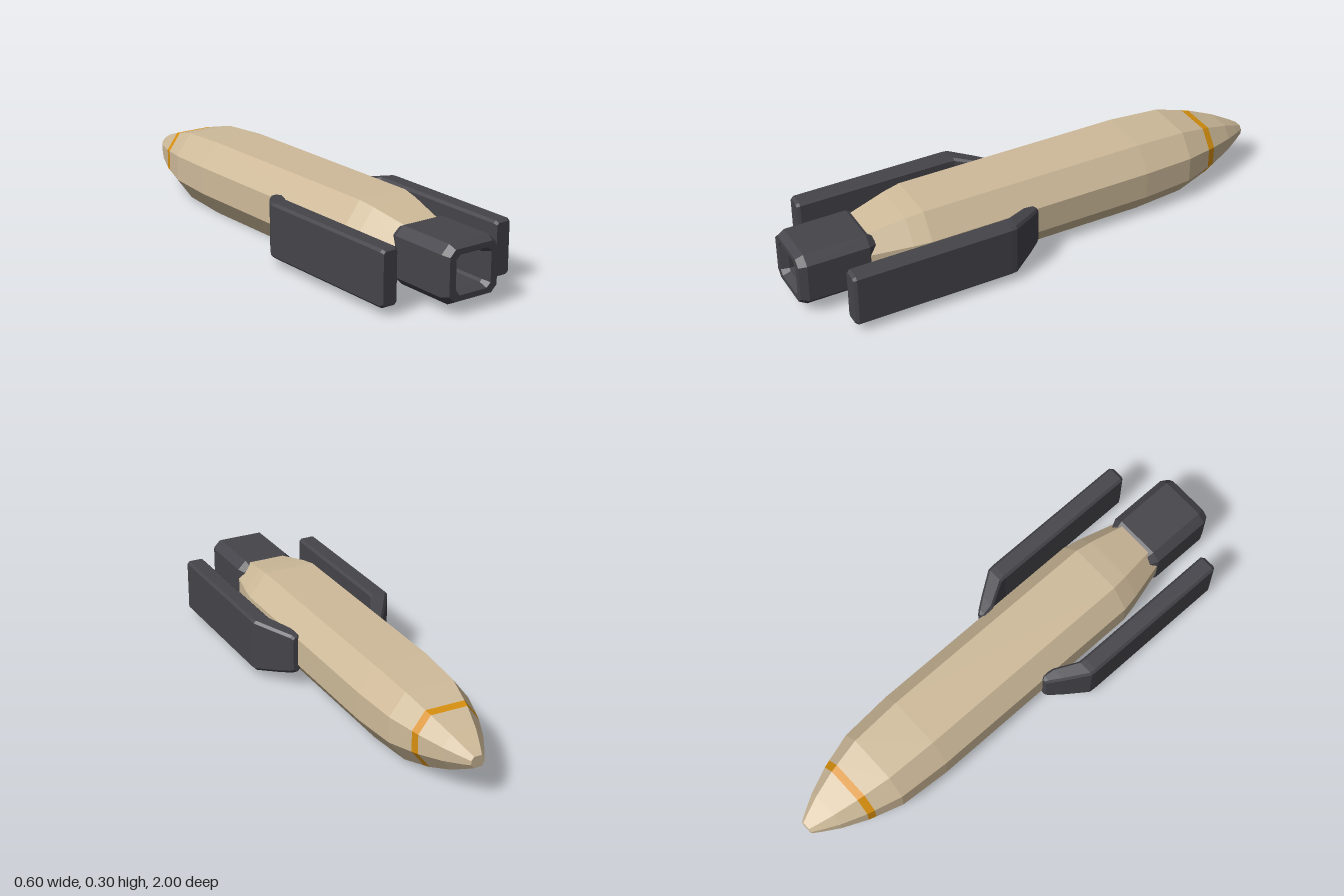
import * as THREE from 'three';

const Y = 0.15; // height of the long axis

// Skin a list of equal-sized rings ([x, y, z], counter-clockwise seen from +z, z rising) and cap both ends.
function loft(rings) {
  const pos = [];
  const n = rings[0].length;
  const last = rings[rings.length - 1];
  const tri = (...p) => p.forEach((v) => pos.push(...v));
  for (let i = 0; i < rings.length - 1; i++) {
    for (let j = 0; j < n; j++) {
      const k = (j + 1) % n;
      const a = rings[i], b = rings[i + 1];
      tri(a[j], a[k], b[k]);
      tri(a[j], b[k], b[j]);
    }
  }
  for (let j = 1; j < n - 1; j++) {
    tri(last[0], last[j], last[j + 1]);
    tri(rings[0][0], rings[0][j + 1], rings[0][j]);
  }
  const g = new THREE.BufferGeometry();
  g.setAttribute('position', new THREE.Float32BufferAttribute(pos, 3));
  g.computeVertexNormals();
  return g;
}

// Rectangle with cut corners, counter-clockwise
function cutRect(x0, x1, y0, y1, c) {
  return [
    [x1, y0 + c], [x1, y1 - c], [x1 - c, y1], [x0 + c, y1],
    [x0, y1 - c], [x0, y0 + c], [x0 + c, y0], [x1 - c, y0],
  ];
}

// Eight-sided hull section scaled by s
const hullSection = [
  [0.178, -0.056], [0.178, 0.056], [0.107, 0.15], [-0.107, 0.15],
  [-0.178, 0.056], [-0.178, -0.056], [-0.107, -0.15], [0.107, -0.15],
];
const hullLoft = (stations) =>
  loft(stations.map(([z, s]) => hullSection.map(([x, y]) => [x * s, Y + y * s, z])));

// Fin stations: z, inner x, outer x, bottom y, top y, corner cut
const finStations = [
  [0.05, 0.173, 0.197, 0.07, 0.214, 0.008],
  [0.062, 0.165, 0.207, 0.06, 0.223, 0.01],
  [0.105, 0.172, 0.238, 0.05, 0.232, 0.01],
  [0.196, 0.223, 0.298, 0.033, 0.249, 0.01],
  [0.22, 0.225, 0.3, 0.032, 0.25, 0.01],
  [0.85, 0.225, 0.3, 0.032, 0.25, 0.01],
  [0.862, 0.233, 0.292, 0.04, 0.242, 0.008],
];

export function createModel() {
  const model = new THREE.Group();
  const material = (name, color) => {
    const m = new THREE.MeshStandardMaterial({ color });
    m.name = name;
    return m;
  };
  const tan = material('tan', 0xcfbb9a);
  const orange = material('orange', 0xd8900f);
  const charcoal = material('charcoal', 0x45444a);

  const add = (name, geometry, mat) => {
    const mesh = new THREE.Mesh(geometry, mat);
    mesh.name = name;
    model.add(mesh);
    return mesh;
  };

  // Hull, coloured band and pointed nose
  add('noseTip', hullLoft([[-1, 0.15], [-0.965, 0.27], [-0.9, 0.47], [-0.8, 0.7]]), tan);
  add('noseBand', hullLoft([[-0.8, 0.7], [-0.77, 0.75]]), orange);
  add('hull', hullLoft([
    [-0.77, 0.75], [-0.66, 0.925], [-0.45, 1], [0.49, 1], [0.56, 0.925], [0.72, 0.69],
  ]), tan);

  // Square exhaust with bevelled rims and an open centre
  const bevel = 0.015;
  const toVectors = (pts) => pts.map(([x, y]) => new THREE.Vector2(x, y));
  const outline = new THREE.Shape(toVectors(cutRect(-0.11, 0.11, -0.097, 0.097, 0.025)));
  outline.holes.push(new THREE.Path(
    toVectors(cutRect(-0.081, 0.081, -0.076, 0.076, 0.018)).reverse()));
  const nozzle = new THREE.ExtrudeGeometry(outline, {
    depth: 0.25, bevelEnabled: true, bevelThickness: 0.03, bevelSize: bevel, bevelSegments: 1,
  });
  nozzle.translate(0, Y, 0.72);
  add('exhaustNozzle', nozzle, charcoal);

  // Side fins, mirrored
  for (const side of [1, -1]) {
    const rings = finStations.map(([z, x0, x1, y0, y1, c]) => {
      const ring = cutRect(x0, x1, y0, y1, c).map(([x, y]) => [x * side, y, z]);
      return side > 0 ? ring : ring.reverse();
    });
    add(side > 0 ? 'leftFin' : 'rightFin', loft(rings), charcoal);
  }

  return model;
}
